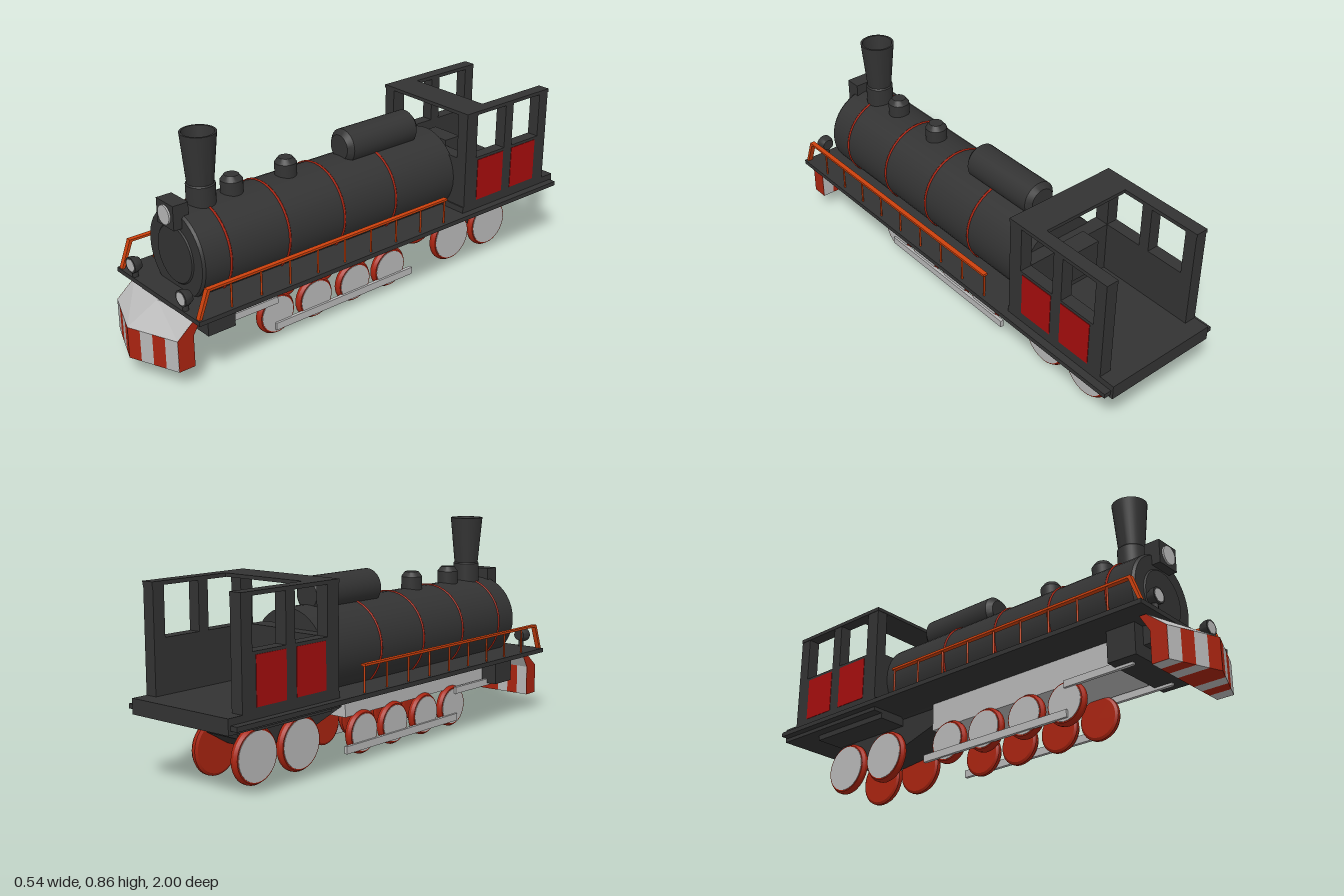
import * as THREE from 'three';
import { toCreasedNormals } from 'three/addons/utils/BufferGeometryUtils.js';

const mat = (color) => new THREE.MeshStandardMaterial({ color });
const DARK = mat(0x333333), GREY = mat(0xb8b8b8), RED = mat(0xaa2410);
const ORANGE = mat(0xcc400c), PANEL = mat(0xa60d0d);

export function createModel() {
  const root = new THREE.Group();
  const add = (name, geo, material, x = 0, y = 0, z = 0) => {
    const m = new THREE.Mesh(geo, material);
    m.name = name;
    m.position.set(x, y, z);
    root.add(m);
    return m;
  };
  // Box given by its limits on each axis
  const box = (name, material, x0, x1, y0, y1, z0, z1) =>
    add(name, new THREE.BoxGeometry(Math.abs(x1 - x0), y1 - y0, Math.abs(z1 - z0)), material,
      (x0 + x1) / 2, (y0 + y1) / 2, (z0 + z1) / 2);
  const lathe = (pts, seg = 32) => toCreasedNormals(
    new THREE.LatheGeometry(pts.map((p) => new THREE.Vector2(...p)), seg), 0.5);
  // Solid through closed [z, y] outlines placed at rising x
  const loft = (name, material, sections) => {
    const pos = [], n = sections[0][1].length;
    const pt = (k, i) => [sections[k][0], sections[k][1][i % n][1], sections[k][1][i % n][0]];
    const tri = (...p) => p.forEach((v) => pos.push(...v));
    const last = sections.length - 1;
    for (let k = 0; k < last; k++) {
      for (let i = 0; i < n; i++) {
        tri(pt(k, i), pt(k, i + 1), pt(k + 1, i + 1));
        tri(pt(k, i), pt(k + 1, i + 1), pt(k + 1, i));
      }
    }
    for (let i = 1; i < n - 1; i++) {
      tri(pt(last, 0), pt(last, i), pt(last, i + 1));
      tri(pt(0, 0), pt(0, i + 1), pt(0, i));
    }
    const g = new THREE.BufferGeometry();
    g.setAttribute('position', new THREE.Float32BufferAttribute(pos, 3));
    g.computeVertexNormals();
    return add(name, g, material);
  };
  // Round bar between two points
  const bar = (name, material, a, b, r) => {
    const A = new THREE.Vector3(...a), B = new THREE.Vector3(...b), d = B.clone().sub(A);
    const m = add(name, new THREE.CylinderGeometry(r, r, d.length(), 8), material);
    m.position.copy(A).add(B).multiplyScalar(0.5);
    m.quaternion.setFromUnitVectors(new THREE.Vector3(0, 1, 0), d.normalize());
    return m;
  };

  // Decks and underframe
  box('deck', DARK, -0.27, 0.27, 0.272, 0.29, -0.99, 0.87);
  box('cabFloor', DARK, -0.24, 0.24, 0.257, 0.315, -1, -0.45);
  box('cabSubfloor', DARK, -0.2, 0.2, 0.235, 0.257, -0.83, -0.45);
  box('mainFrame', GREY, -0.1, 0.1, 0.16, 0.273, -0.26, 0.66);
  box('cylinderBlock', DARK, -0.17, 0.17, 0.15, 0.273, 0.65, 0.77);
  const truck = [[-0.26, 0.2], [-0.42, 0.15], [-0.7, 0.12], [-0.8, 0.18], [-0.83, 0.26], [-0.26, 0.27]];
  loft('rearFrame', DARK, [[-0.08, truck], [0.08, truck]]);

  // Boiler with rings
  const boiler = add('boiler', lathe([[0, -0.46], [0.175, -0.46], [0.175, 0.77], [0.168, 0.78],
    [0.115, 0.78], [0.11, 0.785], [0, 0.785]], 40), DARK, 0, 0.42, 0);
  boiler.rotation.x = Math.PI / 2;
  for (const z of [0.66, 0.395, 0.13, -0.135]) {
    add('boilerRing', new THREE.TorusGeometry(0.175, 0.005, 6, 40), RED, 0, 0.42, z);
  }

  // Chimney, domes and steam drum
  add('chimney', lathe([[0.055, 0.56], [0.055, 0.665], [0.05, 0.67], [0.068, 0.862], [0.06, 0.862],
    [0.04, 0.68], [0, 0.68]]), DARK, 0, 0, 0.66);
  for (const z of [0.525, 0.275]) {
    add('dome', lathe([[0.043, 0.56], [0.043, 0.642], [0.028, 0.662], [0, 0.662]], 24), DARK, 0, 0, z);
  }
  const drum = add('steamDrum', lathe([[0, -0.36], [0.05, -0.36], [0.07, -0.34], [0.07, -0.01],
    [0.05, 0.01], [0, 0.01]]), DARK, 0, 0.63, 0);
  drum.rotation.x = Math.PI / 2;

  // Head lamp
  box('headLamp', DARK, -0.053, 0.053, 0.54, 0.635, 0.75, 0.815);
  const lens = add('headLampLens', new THREE.CylinderGeometry(0.037, 0.037, 0.012, 24), GREY, 0, 0.587, 0.816);
  lens.rotation.x = Math.PI / 2;

  // Cab front wall and roof
  box('cabFrontWall', DARK, -0.24, 0.24, 0.3, 0.52, -0.515, -0.455);
  box('cabRoof', DARK, -0.242, 0.242, 0.706, 0.72, -0.59, -0.453);
  box('backhead', DARK, -0.07, 0.07, 0.42, 0.545, -0.59, -0.51);

  for (const s of [-1, 1]) {
    // Cab side with posts, panels and top rail
    box('cabSideWall', DARK, s * 0.19, s * 0.24, 0.3, 0.52, -0.935, -0.455);
    box('cabTopRail', DARK, s * 0.19, s * 0.242, 0.705, 0.72, -0.937, -0.455);
    for (const [z0, z1] of [[-0.515, -0.455], [-0.725, -0.68], [-0.935, -0.885]]) {
      box('cabPost', DARK, s * 0.19, s * 0.24, 0.5, 0.71, z0, z1);
    }
    for (const [z0, z1] of [[-0.675, -0.525], [-0.87, -0.725]]) {
      box('cabPanel', PANEL, s * 0.235, s * 0.242, 0.33, 0.508, z0, z1);
    }

    // Handrail
    const x = s * 0.252;
    box('handrail', ORANGE, x - 0.01, x + 0.01, 0.389, 0.398, -0.335, 0.825);
    for (let i = 0; i < 9; i++) bar('railPost', ORANGE, [x, 0.285, 0.72 - i * 0.131], [x, 0.392, 0.72 - i * 0.131], 0.004);
    loft('railFrontPost', ORANGE, [x - 0.01, x + 0.01].map((px) =>
      [px, [[0.866, 0.288], [0.854, 0.288], [0.813, 0.392], [0.825, 0.398]]]));

    // Marker lamps
    const lamp = add('markerLamp', lathe([[0, -0.02], [0.025, -0.02], [0.034, 0], [0.034, 0.016],
      [0.026, 0.016], [0.026, 0.012], [0, 0.012]], 24), DARK, s * 0.165, 0.34, 0.858);
    lamp.rotation.x = Math.PI / 2;
    const glass = add('markerLens', new THREE.CylinderGeometry(0.026, 0.026, 0.008, 24), GREY, s * 0.165, 0.34, 0.871);
    glass.rotation.x = Math.PI / 2;
    lamp.scale.z = glass.scale.z = 0.9;
    bar('markerStand', DARK, [s * 0.165, 0.285, 0.856], [s * 0.165, 0.33, 0.856], 0.012);

    // Wheels: red tyre with a grey outer disc
    const wheel = (z, y, r) => {
      const tyre = add('wheel', lathe([[0, -0.015], [r - 0.01, -0.015], [r, -0.009], [r, 0.003],
        [r - 0.008, 0.015], [0, 0.015]]), RED, s * 0.1, y, z);
      const disc = add('wheelDisc', new THREE.CylinderGeometry(r - 0.013, r - 0.013, 0.004, 32), GREY, s * 0.115, y, z);
      tyre.rotation.z = disc.rotation.z = -s * Math.PI / 2;
    };
    for (const z of [0.415, 0.225, 0.025, -0.165]) wheel(z, 0.088, 0.086);
    for (const z of [-0.52, -0.745]) wheel(z, 0.114, 0.106);

    // Rods
    box('couplingRod', GREY, s * 0.112, s * 0.126, 0.025, 0.055, -0.28, 0.43);
    box('pistonRod', GREY, s * 0.112, s * 0.126, 0.14, 0.168, 0.42, 0.725);
  }

  // Plough: striped V-shaped lower part, sloping top, red ends
  const front = (x) => 1 - 0.4 * Math.abs(x);
  const lower = (x) => [x, [[front(x), 0.075], [0.852, 0.075], [0.852, 0.2], [front(x), 0.2]]];
  const upper = (x) => [x, [[front(x), 0.2], [0.852, 0.2], [0.812, 0.266], [0.87 - 0.15 * Math.abs(x), 0.266]]];
  [GREY, RED, GREY, RED, RED, GREY, RED, GREY].forEach((m, i) => {
    const x = -0.2 + i * 0.05;
    loft('ploughStripe', m, [lower(x), lower(x + 0.05)]);
  });
  loft('ploughTop', GREY, [upper(-0.2), upper(0), upper(0.2)]);
  for (const x of [-0.201, 0.199]) {
    for (const part of [lower, upper]) {
      const outline = part(0.201)[1];
      loft('ploughEnd', RED, [[x, outline], [x + 0.002, outline]]);
    }
  }
  box('ploughMount', DARK, -0.12, 0.12, 0.2, 0.273, 0.76, 0.84);
  return root;
}
